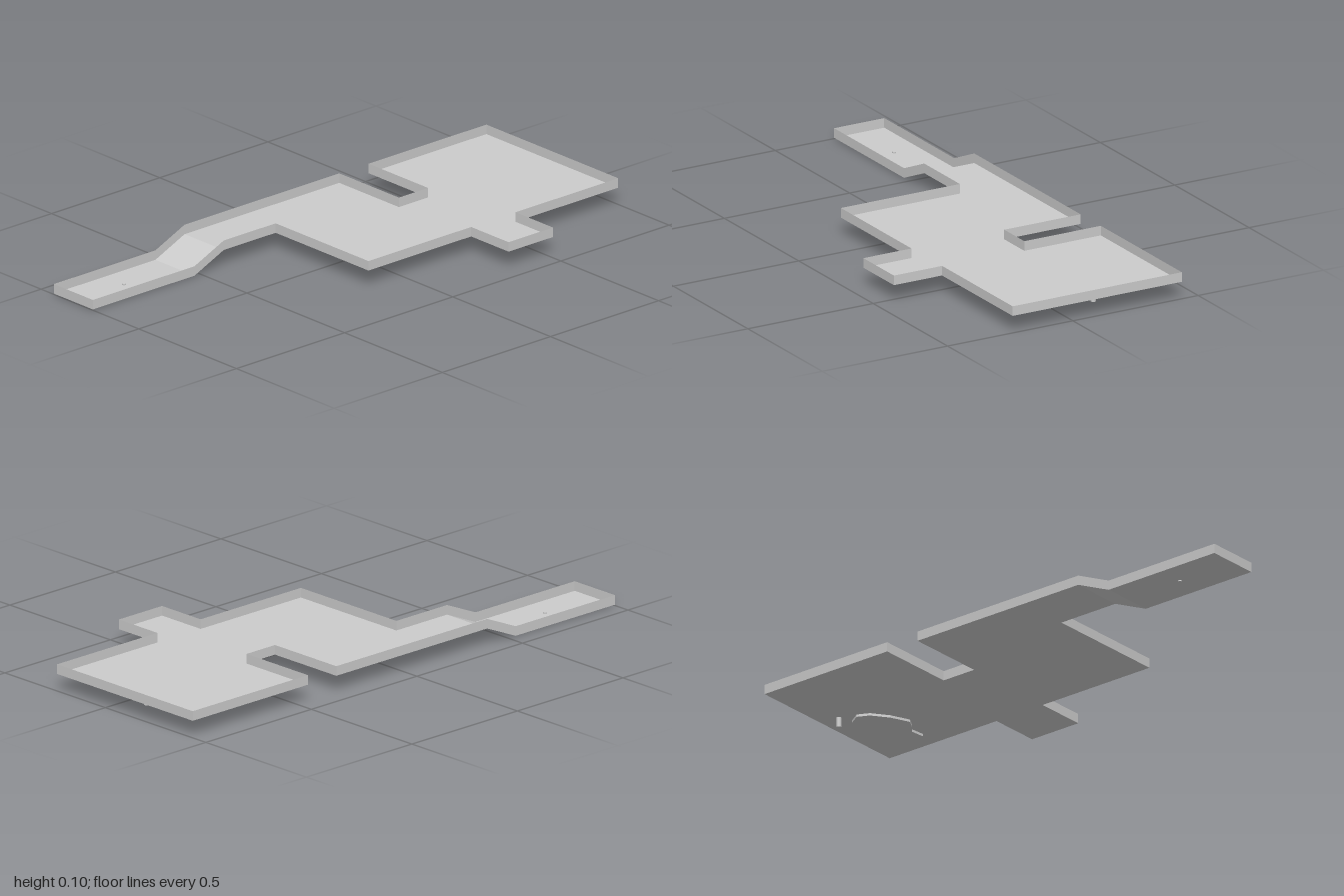
import * as THREE from 'three';

const DECK = 0.062, LOW = 0.003, WALL = 0.035;
const RAMP_LOW = -0.53, RAMP_HIGH = -0.395;
const BACK = -0.435, ARM_FRONT = -0.235;

// floor height along the length: low arm, ramp, raised deck
const floorY = (x) =>
  LOW + (DECK - LOW) * THREE.MathUtils.clamp((x - RAMP_LOW) / (RAMP_HIGH - RAMP_LOW), 0, 1);

// raised deck outline as [x, z]; its last edge is where the ramp joins
const deckOutline = [
  [RAMP_HIGH, BACK], [0.32, BACK], [0.32, -0.13], [0.455, -0.13], [0.455, BACK],
  [1, BACK], [1, 0.24], [0.525, 0.24], [0.525, 0.432], [0.32, 0.432], [0.32, 0.24],
  [-0.155, 0.24], [-0.155, ARM_FRONT], [RAMP_HIGH, ARM_FRONT],
];
const armOutline = [
  [RAMP_LOW, ARM_FRONT], [-1, ARM_FRONT], [-1, BACK], [RAMP_LOW, BACK],
];

// underside relief outline as [x, z]
const reliefOutline = [
  [0.915, 0.13], [0.897, 0.065], [0.92, 0.03], [0.922, -0.02], [0.905, -0.08],
  [0.86, -0.108], [0.818, -0.088], [0.775, -0.03], [0.745, 0.04], [0.765, 0.075],
  [0.79, 0.105], [0.785, 0.16], [0.826, 0.188], [0.883, 0.165],
];

// shape in x / -z, so rotating by -90 degrees about x lays it flat facing up
const planShape = (pts) => new THREE.Shape(pts.map(([x, z]) => new THREE.Vector2(x, -z)));

// strip of separate quads joining two rows of points
function strip(rowA, rowB) {
  const pos = [];
  for (let i = 0; i + 1 < rowA.length; i++) {
    const [a, b, c, d] = [rowA[i], rowA[i + 1], rowB[i + 1], rowB[i]];
    pos.push(...a, ...c, ...b, ...a, ...d, ...c);
  }
  const geo = new THREE.BufferGeometry();
  geo.setAttribute('position', new THREE.Float32BufferAttribute(pos, 3));
  geo.computeVertexNormals();
  return geo;
}

export function createModel() {
  const group = new THREE.Group();
  const sheet = new THREE.MeshStandardMaterial({ color: 0xcccccc, side: THREE.DoubleSide, flatShading: true });
  const solid = new THREE.MeshStandardMaterial({ color: 0xcccccc, flatShading: true });
  const add = (name, geo, mat) => {
    const mesh = new THREE.Mesh(geo, mat);
    mesh.name = name;
    group.add(mesh);
    return mesh;
  };

  // raised deck floor
  const deck = new THREE.ShapeGeometry(planShape(deckOutline));
  deck.rotateX(-Math.PI / 2).translate(0, DECK, 0);
  add('deckFloor', deck, sheet);

  // low arm and ramp floor
  const row = (z) => [-1, RAMP_LOW, RAMP_HIGH].map((x) => [x, floorY(x), z]);
  add('armFloor', strip(row(ARM_FRONT), row(BACK)).scale(1, 1, 1), sheet);

  // thin wall all the way round, following the floor height
  const rim = [...deckOutline, ...armOutline, deckOutline[0]];
  add('rimWall', strip(
    rim.map(([x, z]) => [x, floorY(x), z]),
    rim.map(([x, z]) => [x, floorY(x) + WALL, z]),
  ), sheet);

  // shallow relief under the deck
  const relief = new THREE.ExtrudeGeometry(planShape(reliefOutline), { depth: 0.009, bevelEnabled: false });
  relief.rotateX(-Math.PI / 2).translate(0, 0.052, 0);
  add('undersideRelief', relief, solid);

  // peg beside the relief
  add('undersidePeg', new THREE.CylinderGeometry(0.009, 0.009, 0.036, 12), solid)
    .position.set(0.925, 0.043, -0.126);

  // small stud through the arm floor
  add('armStud', new THREE.CylinderGeometry(0.007, 0.007, 0.008, 12), solid)
    .position.set(-0.765, 0.004, -0.335);

  return group;
}
